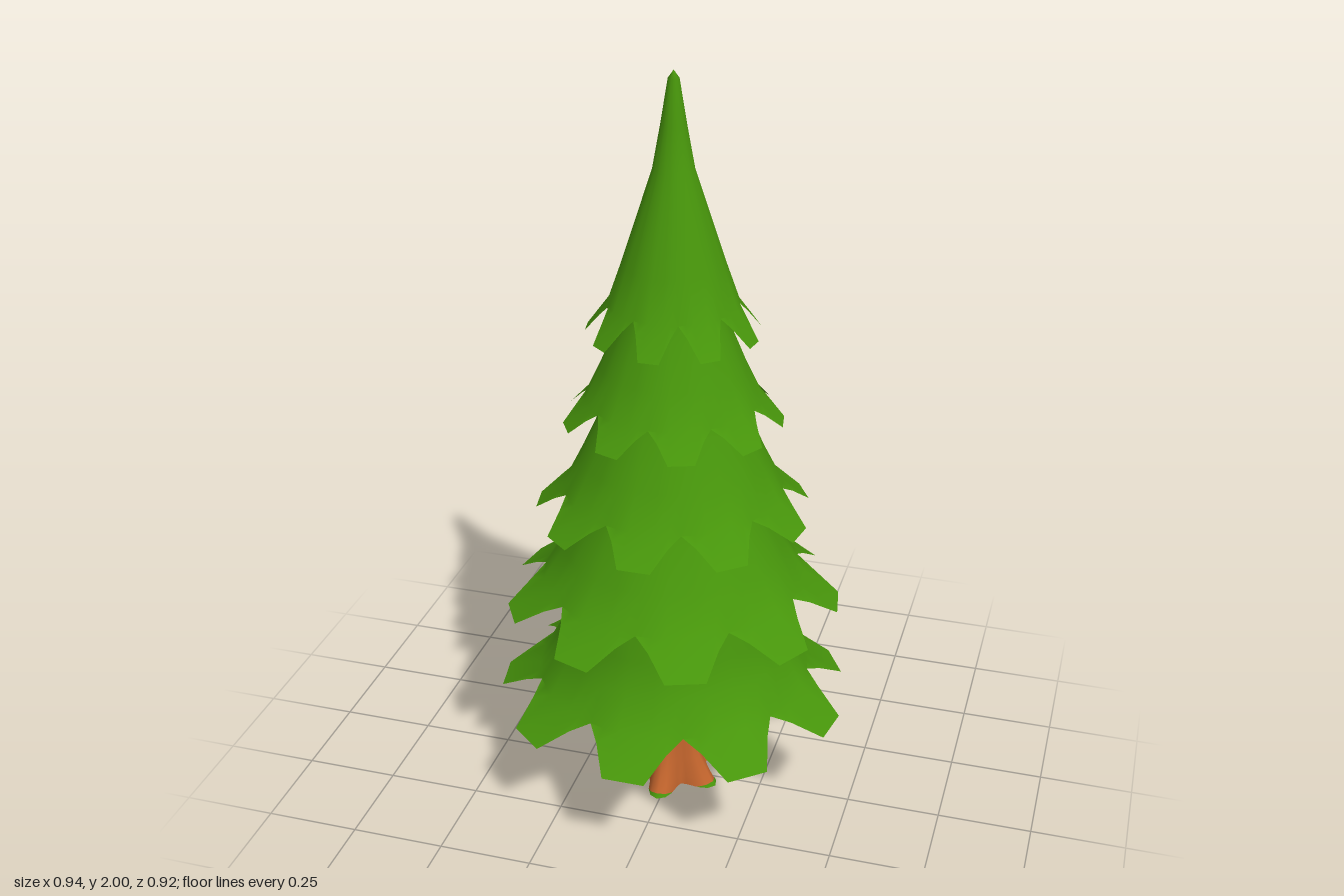
import * as THREE from 'three';

const green = new THREE.MeshStandardMaterial({ color: 0x47950b, side: THREE.DoubleSide });
green.name = 'needleGreen';
const brown = new THREE.MeshStandardMaterial({ color: 0xc0632c, side: THREE.DoubleSide });
brown.name = 'barkBrown';

const LOBES = 9;
const ROOTS = 5;

// Closed surface of rows stacked upwards; point(row, column) gives {r, y, a}
function shell(name, material, rows, cols, point) {
  const pos = [], index = [];
  for (let j = 0; j < rows; j++) {
    for (let i = 0; i < cols; i++) {
      const { r, y, a } = point(j, i);
      pos.push(Math.sin(a) * r, y, Math.cos(a) * r);
      if (j === rows - 1) continue;
      const n = (i + 1) % cols;
      const p = j * cols + i, q = j * cols + n;
      index.push(p, q, q + cols, p, q + cols, p + cols);
    }
  }
  const geo = new THREE.BufferGeometry();
  geo.setAttribute('position', new THREE.Float32BufferAttribute(pos, 3));
  geo.setIndex(index);
  geo.computeVertexNormals();
  const mesh = new THREE.Mesh(geo, material);
  mesh.name = name;
  return mesh;
}

// One lobe of a skirt: position across the lobe and how far its rim reaches out
const lobe = [[-0.5, 0], [-0.34, 0.34], [-0.17, 1], [0.17, 1], [0.34, 0.34]];

// Tier profiles as [radius, height]: lobe tip, notch between lobes, then upwards
const tiers = [
  [[0.47, 0.287], [0.365, 0.36], [0.315, 0.45], [0.285, 0.53], [0.262, 0.7], [0.25, 0.77]],
  [[0.443, 0.577], [0.345, 0.65], [0.29, 0.74], [0.235, 0.85], [0.21, 0.92], [0.198, 1.0]],
  [[0.36, 0.842], [0.285, 0.91], [0.24, 1.0], [0.19, 1.11], [0.168, 1.18], [0.152, 1.26]],
  [[0.283, 1.102], [0.225, 1.165], [0.185, 1.25], [0.14, 1.36], [0.12, 1.43], [0.1, 1.52]],
  [[0.222, 1.342], [0.165, 1.42], [0.13, 1.52], [0.052, 1.76], [0.032, 1.87], [0.014, 1.98], [0, 2]],
];

function makeTier(profile, k) {
  const tier = new THREE.Group();
  tier.name = 'branchTier' + (k + 1);
  const step = (Math.PI * 2) / LOBES;
  const phase = k % 2 ? step / 2 : 0;
  const [tip, notch] = profile;
  const cols = LOBES * lobe.length;
  const angle = (i) => phase + (Math.floor(i / lobe.length) + lobe[i % lobe.length][0]) * step;
  tier.add(shell('skirt', green, profile.length, cols, (j, i) => {
    const a = angle(i);
    if (j > 0) return { r: profile[j][0], y: profile[j][1], a };
    const reach = lobe[i % lobe.length][1];
    return {
      r: THREE.MathUtils.lerp(notch[0], tip[0], reach),
      y: THREE.MathUtils.lerp(notch[1], tip[1], reach),
      a,
    };
  }));
  // Shallow underside closing the skirt, level with the notches
  tier.add(shell('underside', green, 2, cols, (j, i) => (
    { r: j ? notch[0] - 0.002 : 0, y: notch[1] + (j ? 0.001 : 0.025), a: angle(i) }
  )));
  return tier;
}

// Trunk as [mean radius, root bulge, height]
const trunkRows = [
  [0.112, 0.034, 0], [0.102, 0.026, 0.025], [0.082, 0.012, 0.08],
  [0.071, 0.006, 0.15], [0.065, 0.003, 0.22], [0.062, 0.001, 0.3], [0.06, 0, 0.42],
];

function makeTrunk() {
  const trunk = new THREE.Group();
  trunk.name = 'trunk';
  const cols = ROOTS * 8;
  const angle = (i) => (i / cols) * Math.PI * 2;
  const radius = ([mean, bulge], a) => mean + bulge * Math.cos(a * ROOTS);
  // Hollow bark, open at the ground
  trunk.add(shell('bark', brown, trunkRows.length, cols, (j, i) => {
    const a = angle(i);
    return { r: radius(trunkRows[j], a), y: trunkRows[j][2], a };
  }));
  // Thin moss edge hugging the root tips
  trunk.add(shell('rootMoss', green, 2, cols, (j, i) => {
    const a = angle(i);
    const t = j * 0.45 * Math.max(0, Math.cos(a * ROOTS));
    const r = THREE.MathUtils.lerp(radius(trunkRows[0], a), radius(trunkRows[1], a), t);
    return { r: r + 0.002, y: t * trunkRows[1][2], a };
  }));
  trunk.position.x = -0.006;
  return trunk;
}

export function createModel() {
  const tree = new THREE.Group();
  tree.name = 'pineTree';
  const parts = new THREE.Group();
  parts.name = 'treeParts';
  parts.add(makeTrunk(), ...tiers.map(makeTier));
  parts.position.set(-0.002, 0, -0.004);
  tree.add(parts);
  return tree;
}
